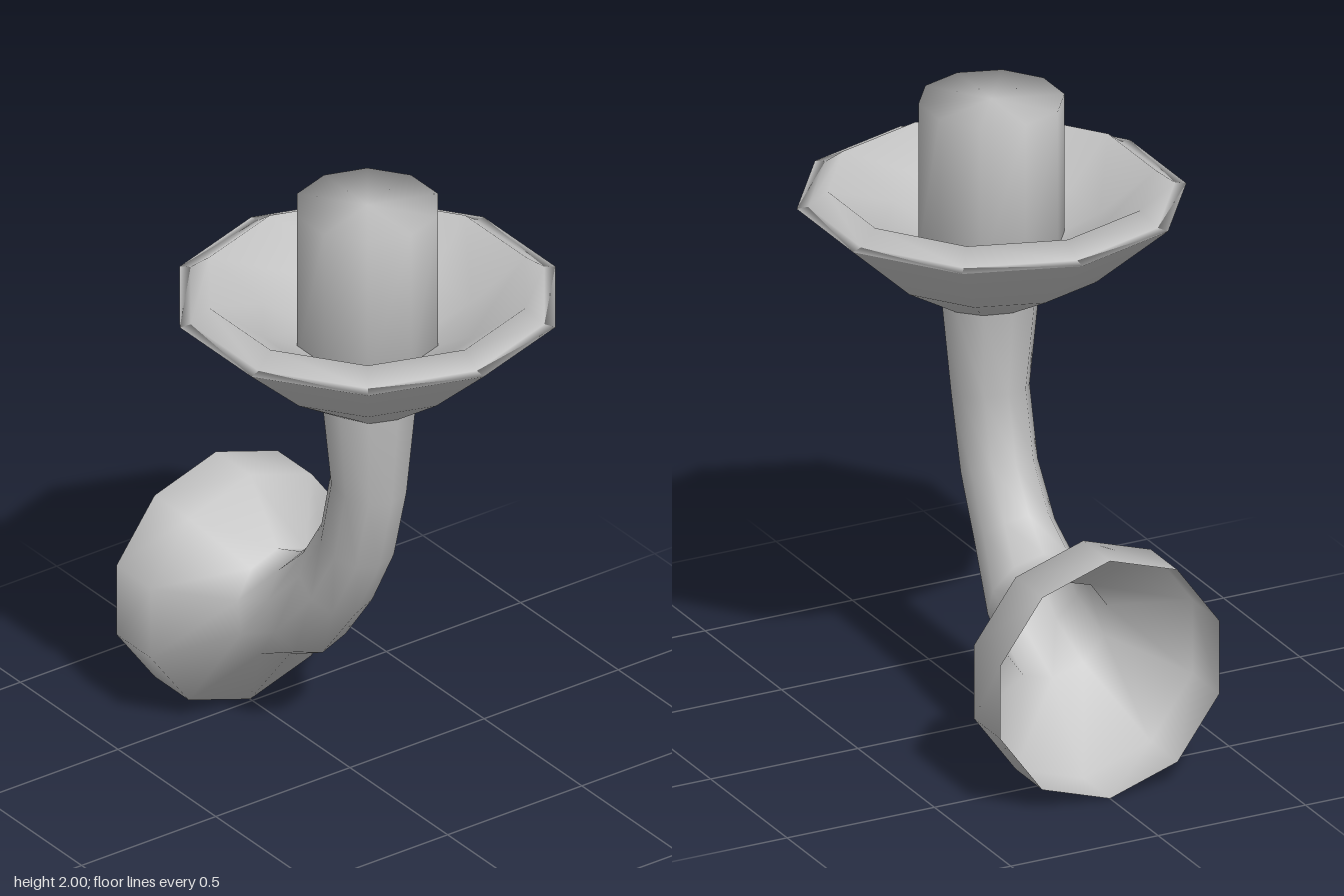
import * as THREE from 'three';
import { mergeVertices } from 'three/addons/utils/BufferGeometryUtils.js';

const SIDES = 10;
const AXIS_Z = 0.09; // z of the vertical axis of dish and tube

// Smooth skin over ten-sided rings, each given by its front and back points [z, y, z, y]
function loft(rings) {
  const pos = [], index = [];
  for (const [z1, y1, z2, y2] of rings) {
    const cz = (z1 + z2) / 2, cy = (y1 + y2) / 2;
    const r = Math.hypot(z1 - z2, y1 - y2) / 2;
    for (let j = 0; j < SIDES; j++) {
      const a = (j / SIDES) * Math.PI * 2, c = Math.cos(a);
      pos.push(r * Math.sin(a), cy + (y1 - cy) * c, cz + (z1 - cz) * c);
    }
  }
  for (let i = 0; i < rings.length - 1; i++) {
    for (let j = 0; j < SIDES; j++) {
      const k = (j + 1) % SIDES;
      const a = i * SIDES + j, b = i * SIDES + k;
      index.push(a, b, a + SIDES, b, b + SIDES, a + SIDES);
    }
  }
  const g = new THREE.BufferGeometry();
  g.setAttribute('position', new THREE.Float32BufferAttribute(pos, 3));
  g.setIndex(index);
  g.computeVertexNormals();
  return g;
}

export function createModel() {
  const group = new THREE.Group();
  const metal = new THREE.MeshStandardMaterial({ color: 0xc0c0c0, side: THREE.DoubleSide });
  metal.name = 'light grey';

  const add = (name, geometry) => {
    const mesh = new THREE.Mesh(geometry, metal);
    mesh.name = name;
    group.add(mesh);
    return mesh;
  };

  // Hollow wall flange flowing into the curved arm
  add('wallFlangeAndArm', loft([
    [-0.685, 0, -0.685, 0.78],
    [-0.51, 0, -0.51, 0.78],
    [-0.31, 0.25, -0.37, 0.59],
    [-0.14, 0.335, -0.25, 0.635],
    [0.03, 0.55, -0.155, 0.725],
    [0.15, 0.77, -0.07, 0.86],
    [0.215, 1.02, -0.02, 1.07],
    [0.245, 1.325, -0.05, 1.35],
  ]));

  // Dish: outer wall, grooved rim, then the sunken bowl
  const level = (r, y) => [AXIS_Z + r, y, AXIS_Z - r, y];
  add('dish', loft([
    [0.245, 1.325, -0.05, 1.35],
    level(0.352, 1.465),
    level(0.595, 1.68),
    level(0.56, 1.685),
    level(0.5, 1.73),
    level(0.33, 1.6),
    level(0.18, 1.53),
  ]));

  // Closed tube with soft shading over its top edge
  let tube = new THREE.CylinderGeometry(0.223, 0.223, 0.5, SIDES);
  tube.deleteAttribute('uv');
  tube.deleteAttribute('normal');
  tube = mergeVertices(tube);
  tube.computeVertexNormals();
  add('candleTube', tube).position.set(0, 1.75, AXIS_Z);

  return group;
}
